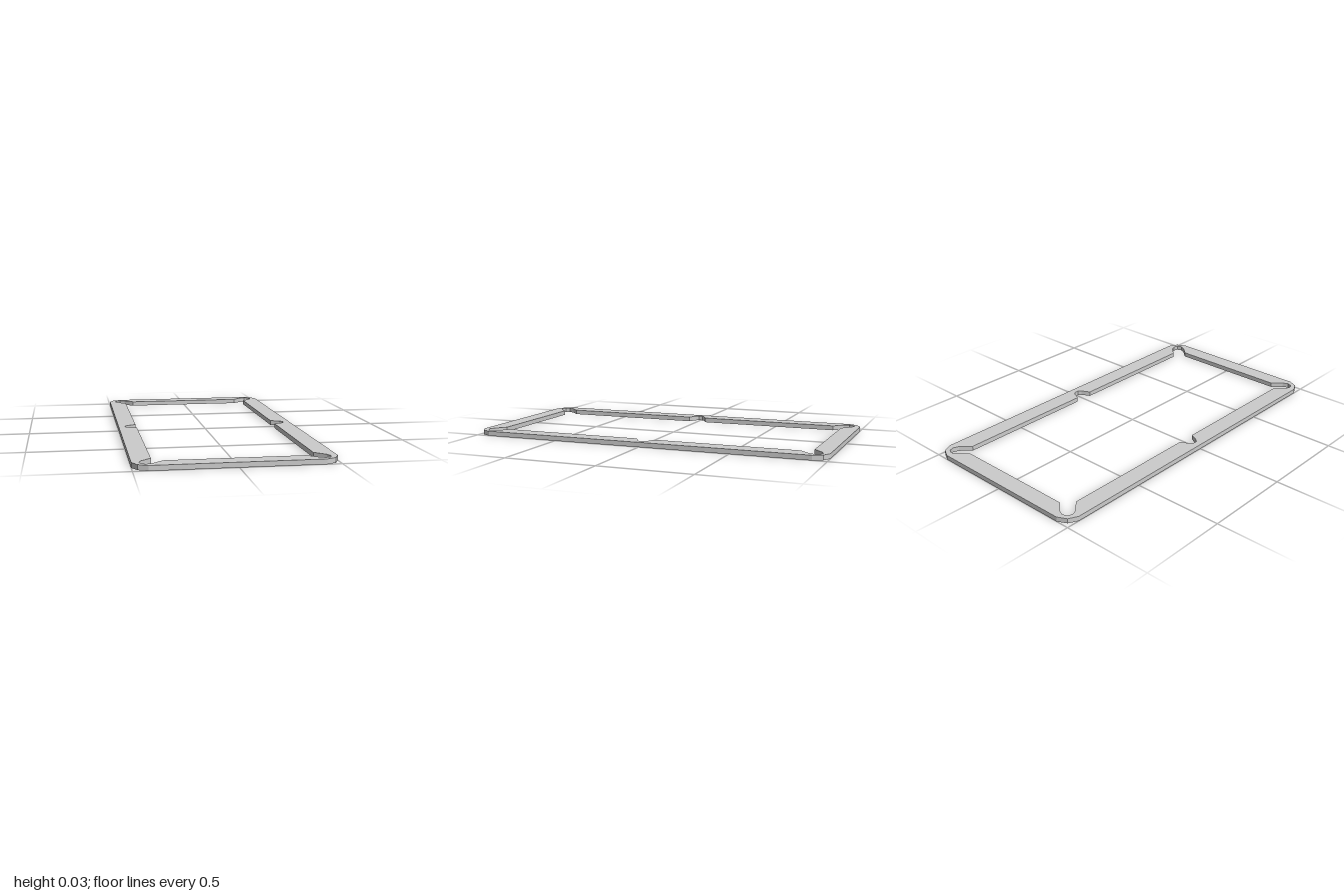
import * as THREE from 'three';

// Mirrors a quarter outline (x, z >= 0, ordered from the +x side to the +z side) into a closed loop
function mirrorLoop(quarter) {
  const loop = [];
  for (const [sx, sz] of [[1, 1], [-1, 1], [-1, -1], [1, -1]]) {
    const pts = quarter.map(([x, z]) => new THREE.Vector2(x * sx, z * sz));
    if (sx * sz < 0) pts.reverse();
    for (const p of pts) {
      const last = loop[loop.length - 1];
      if (!last || last.distanceTo(p) > 1e-6) loop.push(p);
    }
  }
  if (loop[0].distanceTo(loop[loop.length - 1]) < 1e-6) loop.pop();
  return loop;
}

export function createModel() {
  const group = new THREE.Group();
  group.name = 'tableRail';
  const height = 0.026;

  // Outer edge with chamfered corners
  const outer = mirrorLoop([[0.5, 0.925], [0.475, 0.975], [0.425, 1]]);

  // Inner edge: side pocket, long cushion, corner pocket, short cushion
  const inner = mirrorLoop([
    [0.463, 0], [0.462, 0.013], [0.447, 0.028], [0.4, 0.052],
    [0.4, 0.847],
    [0.453, 0.9], [0.465, 0.93], [0.456, 0.956], [0.43, 0.966], [0.4, 0.953],
    [0.347, 0.904],
  ]);

  const shape = new THREE.Shape(outer);
  shape.holes.push(new THREE.Path(inner));
  const geometry = new THREE.ExtrudeGeometry(shape, { depth: height, bevelEnabled: false });
  geometry.rotateX(-Math.PI / 2);

  const frame = new THREE.Mesh(
    geometry,
    new THREE.MeshStandardMaterial({ color: 0xcccccc, flatShading: true })
  );
  frame.name = 'pocketedFrame';
  group.add(frame);
  return group;
}
